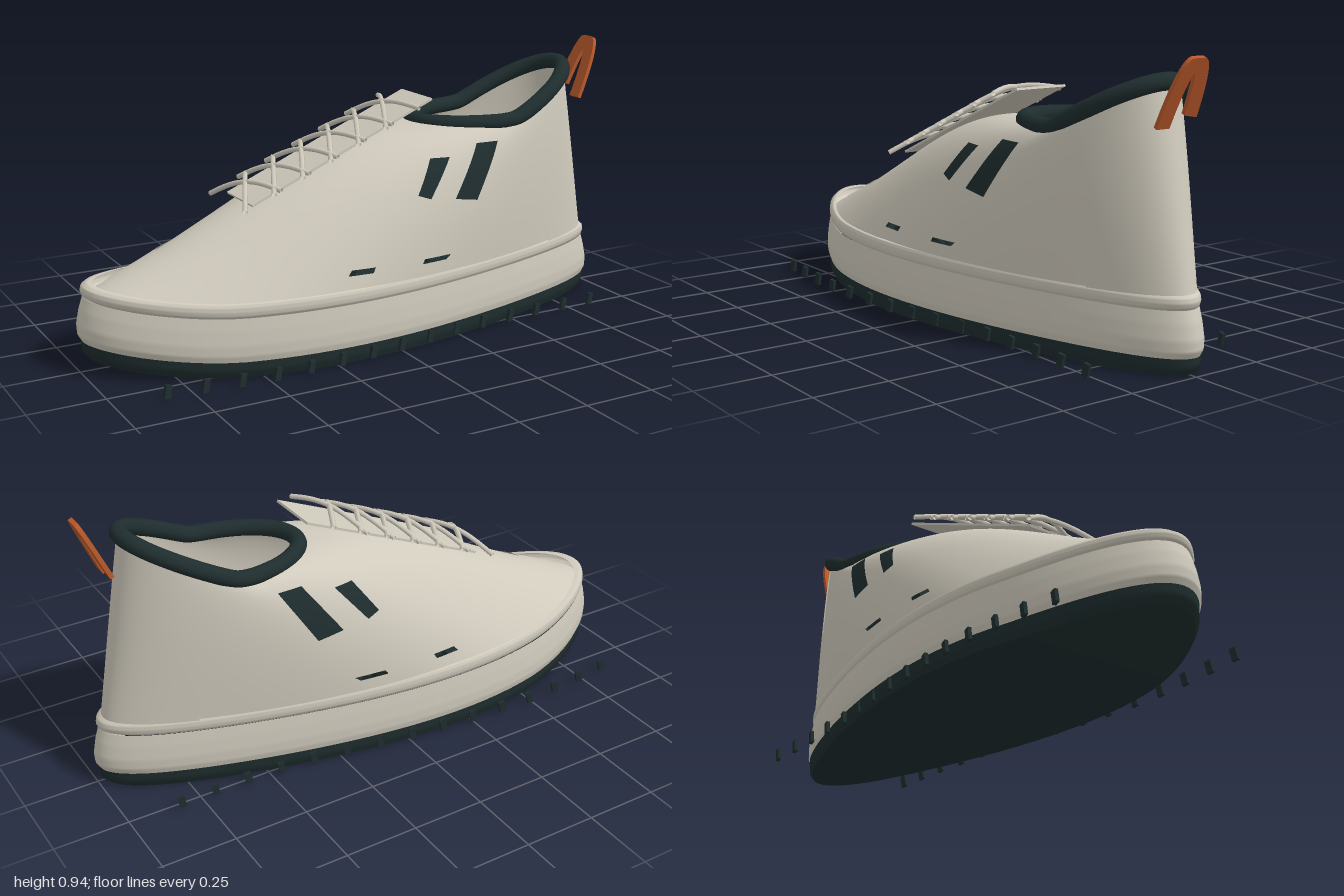
import * as THREE from 'three';
import { ParametricGeometry } from 'three/addons/geometries/ParametricGeometry.js';

const PI = Math.PI;
const V = (x, y, z) => new THREE.Vector3(x, y, z);

// Plan outline of the sole: angle 0 is the toe (-x), PI is the heel (+x)
function outline(a, scale) {
  const x = -Math.cos(a);
  const w = 0.345 - 0.1 * x - 0.05 * x * x + 0.045 * x * x * x;
  return [x * scale, w * Math.sin(a) * scale];
}
const toeLift = x => 0.05 * Math.pow(Math.max(0, (-0.55 - x) / 0.45), 1.6);

// Collar ring, flat in front and rising to the heel
function collarPoint(a) {
  const x = 0.545 - 0.3 * Math.cos(a);
  const d = x - 0.54;
  return V(x, 0.7 + 0.26 * (d + Math.sqrt(d * d + 0.0006)), 0.183 * Math.sin(a));
}

// Upper surface blends the sole outline into the collar ring
function skin(a, v) {
  const [bx, bz] = outline(a, 0.965);
  const p = V(bx, 0.2 + toeLift(bx), bz).lerp(collarPoint(a), v);
  const front = Math.pow((1 + Math.cos(a)) / 2, 0.6);
  p.y += 0.07 * front * Math.sin(PI * Math.pow(v, 1.8));
  p.z += 0.02 * Math.sin(a) * Math.sin(PI * v);
  return p;
}
function raised(a, v, off) {
  const e = 1e-3, p = skin(a, v);
  const n = skin(a + e, v).sub(skin(a - e, v)).cross(skin(a, v + e).sub(skin(a, v - e)));
  return p.addScaledVector(n.normalize(), off);
}
// Finds the surface position seen from the side at a given x and y
function sideLocate(x, y) {
  let a0 = 0.02, a1 = PI - 0.02, v = 0;
  for (let i = 0; i < 24; i++) {
    const a = (a0 + a1) / 2;
    let v0 = 0, v1 = 1;
    for (let j = 0; j < 20; j++) {
      v = (v0 + v1) / 2;
      if (skin(a, v).y < y) v0 = v; else v1 = v;
    }
    if (skin(a, v).x < x) a0 = a; else a1 = a;
  }
  return [(a0 + a1) / 2, v];
}
// Even position along a polyline
function along(pts, t) {
  const f = t * (pts.length - 1), i = Math.min(Math.floor(f), pts.length - 2), k = f - i;
  return [0, 1].map(c => pts[i][c] * (1 - k) + pts[i + 1][c] * k);
}

export function createModel() {
  const group = new THREE.Group();
  const material = (name, color, side = THREE.FrontSide) => {
    const m = new THREE.MeshStandardMaterial({ color, side });
    m.name = name;
    return m;
  };
  const canvas = material('warm grey', 0xcfcabc, THREE.DoubleSide);
  const dark = material('dark teal', 0x1f2d2e);
  const orange = material('burnt orange', 0xb9592c);

  const add = (name, geometry, mat) => {
    const mesh = new THREE.Mesh(geometry, mat);
    mesh.name = name;
    group.add(mesh);
    return mesh;
  };
  const surface = (fn, n, m) => new ParametricGeometry((u, v, t) => t.copy(fn(u, v)), n, m);

  // Sole layers: each sweeps a [scale, height] profile around the outline
  const band = (name, pts, mat, m, flip = false) => add(name, surface((u, v) => {
    const [s, y] = along(pts, v);
    const [x, z] = outline((flip ? -u : u) * 2 * PI, s);
    return V(x, y + toeLift(x), z);
  }, 96, m), mat);
  band('outsoleBottom', [[0.001, 0], [0.97, 0]], dark, 16);
  band('outsoleEdge', [[0.97, 0], [0.985, 0.015], [0.99, 0.055]], dark, 4);
  band('midsole', [[0.985, 0.05], [0.998, 0.07], [1, 0.1], [0.99, 0.15], [0.975, 0.198]], canvas, 12);
  band('midsoleBead', [[0.965, 0.196], [0.978, 0.203], [0.983, 0.215], [0.98, 0.23], [0.968, 0.24], [0.94, 0.243]], canvas, 10);
  band('footbed', [[0.001, 0.24], [0.86, 0.24]], dark, 4, true);

  // Upper shell and padded collar
  add('upper', surface((u, v) => skin(u * 2 * PI, v), 120, 32), canvas);
  const ring = [];
  for (let i = 0; i < 40; i++) ring.push(collarPoint(i / 40 * 2 * PI));
  add('collar', new THREE.TubeGeometry(new THREE.CatmullRomCurve3(ring, true), 120, 0.028, 14, true), dark);

  // Overlays at toe and heel
  const overlay = (name, a0, a1, v0, v1) => add(name, surface((u, v) =>
    raised(a0 + (a1 - a0) * u, v0 + (v1(u) - v0) * v, 0.004), 48, 16), canvas);
  overlay('toeCap', -1.25, 1.25, 0.06, u => 0.2 + 0.12 * Math.pow(2 * u - 1, 2));
  overlay('heelCounter', 2.38, 2 * PI - 2.38, 0.06, () => 0.95);

  // Side patches, given by their lower and upper edges and mirrored
  const sidePatch = (name, low, high, mat, off, n, m) => {
    const half = surface((u, v) => {
      const p = along(low, u), q = along(high, u);
      const [a, t] = sideLocate(p[0] + (q[0] - p[0]) * v, p[1] + (q[1] - p[1]) * v);
      return raised(a, t, off);
    }, n, m);
    const other = surface((u, v) => {
      const p = along(low, 1 - u), q = along(high, 1 - u);
      const [a, t] = sideLocate(p[0] + (q[0] - p[0]) * v, p[1] + (q[1] - p[1]) * v);
      const r = raised(a, t, off);
      r.z *= -1;
      return r;
    }, n, m);
    add(name + 'Left', half, mat);
    add(name + 'Right', other, mat);
  };
  sidePatch('sidePanel',
    [[-0.22, 0.26], [-0.02, 0.262], [0.16, 0.264], [0.35, 0.267], [0.54, 0.27]],
    [[-0.2, 0.49], [-0.06, 0.515], [0.12, 0.49], [0.3, 0.457], [0.57, 0.457]], canvas, 0.004, 24, 8);
  sidePatch('frontStripe', [[0.09, 0.505], [0.135, 0.49]], [[0.165, 0.612], [0.235, 0.612]], dark, 0.007, 4, 6);
  sidePatch('rearStripe', [[0.23, 0.48], [0.32, 0.465]], [[0.35, 0.645], [0.435, 0.645]], dark, 0.007, 4, 6);
  sidePatch('frontMark', [[-0.2, 0.285], [-0.11, 0.285]], [[-0.185, 0.302], [-0.1, 0.302]], dark, 0.007, 4, 2);
  sidePatch('rearMark', [[0.08, 0.285], [0.18, 0.285]], [[0.09, 0.3], [0.2, 0.3]], dark, 0.007, 4, 2);

  // Tongue: thin sloping plate
  const tongue = add('tongue', new THREE.BoxGeometry(0.74, 0.008, 0.2), canvas);
  tongue.position.set(-0.09, 0.643, 0);
  tongue.rotation.z = Math.atan2(0.29, 0.68);

  // Crossed laces arching over the tongue
  for (let i = 0; i < 6; i++) {
    for (const side of [1, -1]) {
      const pts = [];
      for (let k = 0; k <= 8; k++) {
        const t = k / 8, x = -0.475 + i * 0.104 + t * 0.13;
        pts.push(V(x, 0.5 + 0.426 * (x + 0.43) + 0.012 + 0.035 * Math.sin(PI * t), side * (0.14 - 0.28 * t)));
      }
      add('lace', new THREE.TubeGeometry(new THREE.CatmullRomCurve3(pts), 16, 0.009, 6), canvas);
    }
  }

  // Pull tab: flat arched strap leaning back from the heel
  const tab = new THREE.Shape();
  tab.moveTo(0.085, 0);
  tab.bezierCurveTo(0.08, 0.15, 0.06, 0.23, 0.03, 0.23);
  tab.lineTo(-0.01, 0.23);
  tab.bezierCurveTo(-0.04, 0.23, -0.055, 0.15, -0.06, 0.03);
  tab.lineTo(-0.008, 0.04);
  tab.bezierCurveTo(-0.003, 0.12, 0.002, 0.17, 0.01, 0.18);
  tab.bezierCurveTo(0.022, 0.17, 0.032, 0.1, 0.035, 0);
  const tabGeometry = new THREE.ExtrudeGeometry(tab, { depth: 0.014, bevelEnabled: false, curveSegments: 12 });
  tabGeometry.rotateY(-PI / 2).rotateZ(-0.42).translate(0.9, 0.728, 0);
  add('pullTab', tabGeometry, orange);

  // Row of small lugs standing beside the sole
  const lugZ = [0.35, 0.365, 0.375, 0.382, 0.38, 0.37, 0.36, 0.345, 0.328, 0.306, 0.292, 0.285, 0.277, 0.275, 0.275];
  const lugGeometry = new THREE.BoxGeometry(0.022, 0.042, 0.012);
  lugZ.forEach((z, i) => {
    for (const side of [1, -1]) {
      const lug = add('lug', lugGeometry, dark);
      lug.position.set(-0.84 + i * 0.119, 0.028, side * z);
      lug.rotation.set(0, side * 0.2, -0.2);
    }
  });
  return group;
}
